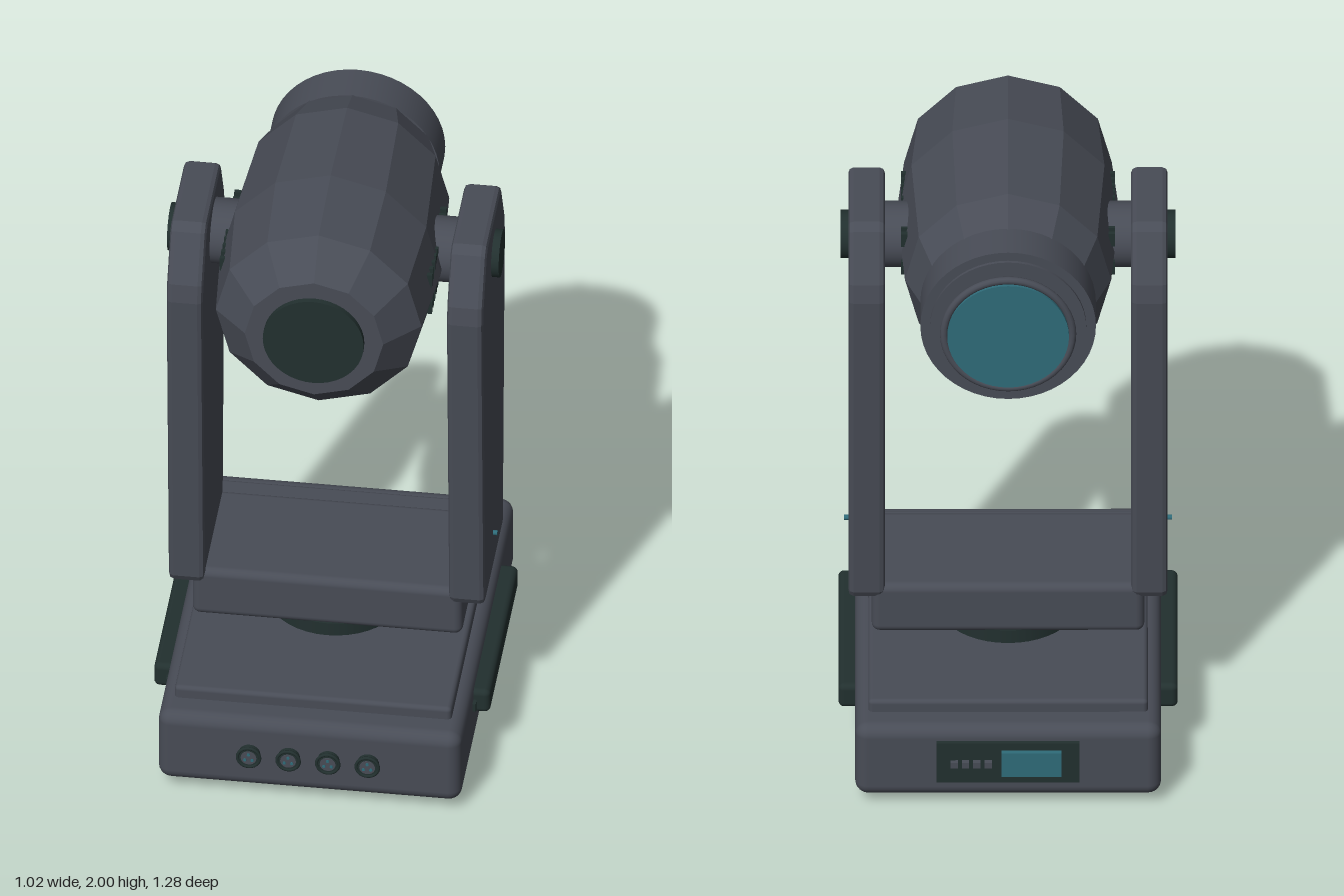
import * as THREE from 'three';
import { RoundedBoxGeometry } from 'three/addons/geometries/RoundedBoxGeometry.js';

const mat = (name, color) => {
  const m = new THREE.MeshStandardMaterial({ color });
  m.name = name;
  return m;
};

export function createModel() {
  const grey = mat('housing grey', 0x484c56);
  const dark = mat('dark green black', 0x22302f);
  const teal = mat('glass teal', 0x2f6c7a);
  const root = new THREE.Group();
  root.name = 'movingHeadLight';

  const add = (name, geo, m, x = 0, y = 0, z = 0, parent = root) => {
    const mesh = new THREE.Mesh(geo, m);
    mesh.name = name;
    mesh.position.set(x, y, z);
    parent.add(mesh);
    return mesh;
  };
  const rbox = (w, h, d, r, s = 3) => new RoundedBoxGeometry(w, h, d, s, r);
  const cyl = (r, h, axis = 'y', seg = 32, r2 = r) => {
    const g = new THREE.CylinderGeometry(r2, r, h, seg);
    if (axis === 'x') g.rotateZ(-Math.PI / 2);
    if (axis === 'z') g.rotateX(Math.PI / 2);
    return g;
  };

  // Base box, top plate, feet
  add('base', rbox(0.92, 0.25, 1.22, 0.04), grey, 0, 0.16, 0);
  add('topPlate', rbox(0.84, 0.08, 1.04, 0.014, 2), grey, 0, 0.285, 0);
  for (const x of [-0.355, 0.355])
    for (const z of [-0.42, 0.42]) add('foot', cyl(0.045, 0.04, 'y', 12), dark, x, 0.02, z);

  // Side handles with a small stud at the front end
  for (const s of [-1, 1]) {
    add('handle', rbox(0.08, 0.082, 0.64, 0.018), dark, s * 0.47, 0.205, 0);
    add('handleStud', new THREE.BoxGeometry(0.03, 0.028, 0.03), dark, s * 0.455, 0.2, 0.328);
  }

  // Front sockets with pins
  for (const x of [-0.18, -0.06, 0.06, 0.18]) {
    const socket = new THREE.Group();
    socket.name = 'socket';
    socket.position.set(x, 0.165, 0.61);
    root.add(socket);
    add('socketBody', cyl(0.033, 0.024, 'z', 24), dark, 0, 0, 0.01, socket);
    add('socketRim', new THREE.TorusGeometry(0.034, 0.005, 8, 24), dark, 0, 0, 0.021, socket);
    add('socketCore', cyl(0.024, 0.004, 'z', 20), grey, 0, 0, 0.022, socket);
    for (let i = 0; i < 3; i++) {
      const a = Math.PI / 2 + (i * Math.PI * 2) / 3;
      add('pin', cyl(0.005, 0.006, 'z', 8), teal, Math.cos(a) * 0.013, Math.sin(a) * 0.013, 0.024, socket);
    }
  }

  // Rear control panel
  add('controlPanel', new THREE.BoxGeometry(0.43, 0.14, 0.025), dark, 0, 0.17, -0.6125);
  add('screen', new THREE.BoxGeometry(0.18, 0.085, 0.02), teal, -0.07, 0.172, -0.631);
  for (let i = 0; i < 4; i++)
    add('button', new THREE.BoxGeometry(0.022, 0.02, 0.02), grey, 0.06 + i * 0.034, 0.17, -0.631);

  // Turntable and yoke
  add('turntable', cyl(0.207, 0.06, 'y', 40), dark, 0, 0.34, 0);
  add('yokeBridge', rbox(0.82, 0.17, 0.41, 0.025), grey, 0, 0.445, 0);

  // Tapered arm outline drawn in z and y
  const outline = new THREE.Shape([
    [0.205, 0.49], [0.215, 0.51], [0.263, 1.58], [0.253, 1.64], [0.18, 1.785], [0.15, 1.805],
    [-0.145, 1.805], [-0.172, 1.785], [-0.243, 1.64], [-0.253, 1.58], [-0.21, 0.51], [-0.2, 0.49],
  ].reverse().map(([z, y]) => new THREE.Vector2(z, y)));
  const armGeo = new THREE.ExtrudeGeometry(outline, {
    depth: 0.078, bevelEnabled: true, bevelThickness: 0.016, bevelSize: 0.016, bevelOffset: -0.016, bevelSegments: 2,
  });
  armGeo.translate(0, 0, -0.039).rotateY(-Math.PI / 2);

  const axisY = 1.665;
  for (const s of [-1, 1]) {
    add('yokeArm', armGeo, grey, s * 0.425, 0, 0);
    add('pivotCap', cyl(0.073, 0.04, 'x'), dark, s * 0.483, axisY, 0);
    add('tiltAxle', cyl(0.1, 0.12, 'x'), grey, s * 0.33, axisY, 0);
    add('statusLight', cyl(0.008, 0.02, 'x', 10), teal, s * 0.483, 0.625, 0.025);
  }

  // Lamp head, axis along z
  const head = new THREE.Group();
  head.name = 'head';
  head.position.y = axisY;
  root.add(head);
  const profile = [[0, -0.38], [0.262, -0.38], [0.31, -0.25], [0.335, 0.12], [0.312, 0.39], [0.21, 0.495], [0, 0.495]];
  const shell = new THREE.LatheGeometry(profile.map(p => new THREE.Vector2(...p)), 12)
    .rotateX(Math.PI / 2).toNonIndexed();
  shell.computeVertexNormals();
  add('headShell', shell, grey, 0, 0, 0, head);
  add('endCap', cyl(0.153, 0.03, 'z', 40), dark, 0, 0, 0.498, head);
  add('collar', cyl(0.264, 0.13, 'z', 48), grey, 0, 0, -0.435, head);
  add('collarLip', cyl(0.235, 0.02, 'z', 48), grey, 0, 0, -0.5, head);
  add('lensRing', new THREE.TorusGeometry(0.193, 0.012, 10, 48), grey, 0, 0, -0.544, head);
  add('lens', cyl(0.183, 0.016, 'z', 48), teal, 0, 0, -0.552, head);

  // Cooling slots in two rows on each flank
  for (const s of [-1, 1])
    for (const y of [-0.05, 0.05])
      for (let i = 0; i < 11; i++)
        add('coolingSlot', new THREE.BoxGeometry(0.02, 0.045, 0.014), dark, s * 0.312, y, -0.105 + i * 0.033, head);

  return root;
}
